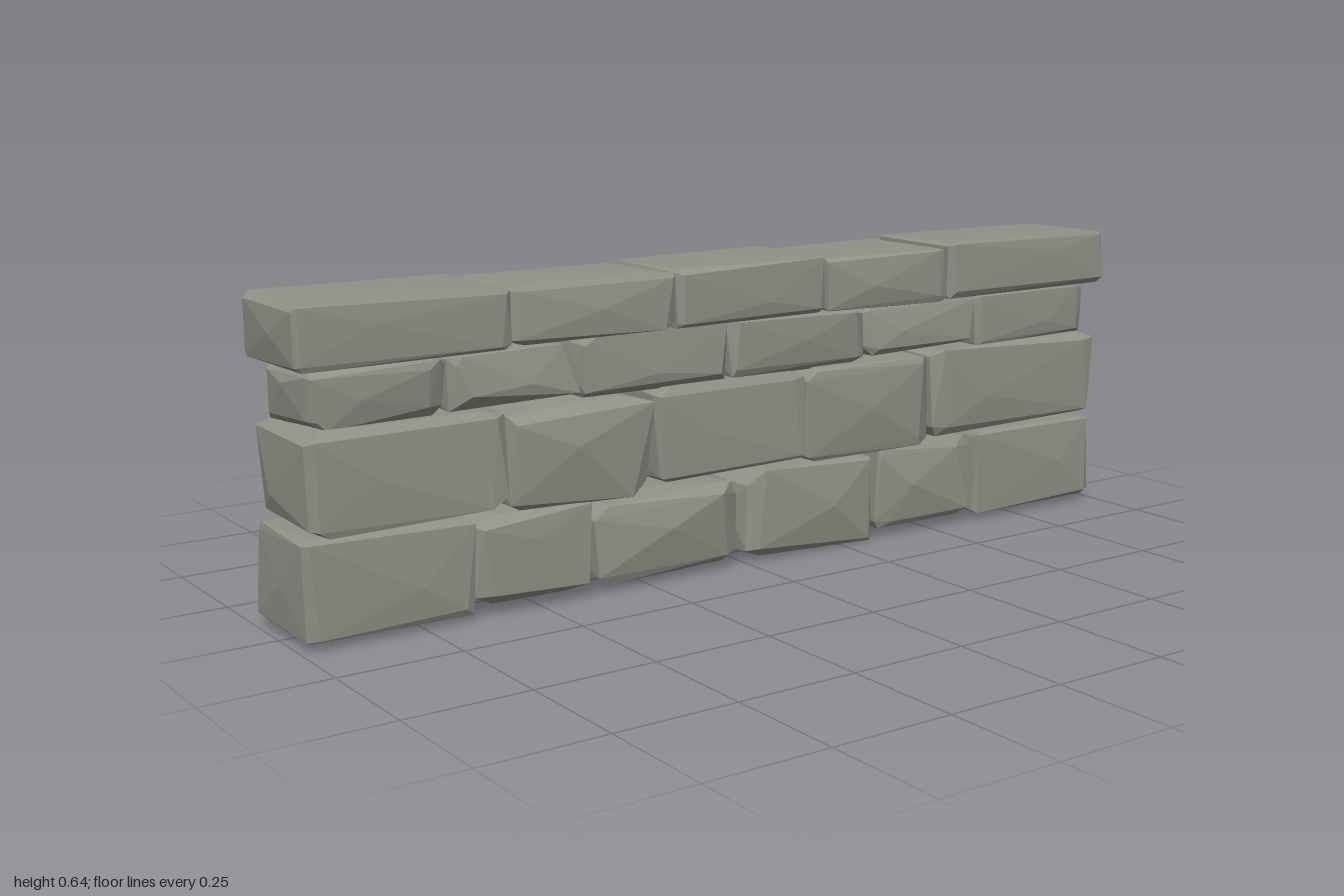
import * as THREE from 'three';
import { ConvexGeometry } from 'three/addons/geometries/ConvexGeometry.js';

// Small seeded random generator
function seeded(seed) {
  let s = seed;
  return () => {
    s = (s * 16807) % 2147483647;
    return s / 2147483647;
  };
}

// Each stone: [left x, right x, bottom y, top y, roughness]
const courses = [
  { name: 'baseCourse', back: -0.12, front: 0.115, stones: [
    [-0.995, -0.64, 0.01, 0.207, 0.8], [-0.65, -0.385, 0.015, 0.205, 1.1], [-0.385, -0.02, 0.012, 0.185, 1.2],
    [-0.015, 0.34, 0.0, 0.2, 1.2], [0.34, 0.61, 0.015, 0.205, 1], [0.615, 0.993, 0.01, 0.207, 0.8]] },
  { name: 'secondCourse', back: -0.12, front: 0.117, stones: [
    [-0.985, -0.565, 0.205, 0.405, 1], [-0.57, -0.23, 0.185, 0.395, 1.6], [-0.24, 0.14, 0.205, 0.402, 0.8],
    [0.135, 0.495, 0.19, 0.405, 1.1], [0.485, 0.985, 0.205, 0.405, 1]] },
  { name: 'thirdCourse', back: -0.1, front: 0.1, stones: [
    [-0.97, -0.68, 0.395, 0.515, 0.9], [-0.69, -0.39, 0.4, 0.515, 1.2], [-0.4, -0.04, 0.39, 0.52, 0.9],
    [-0.05, 0.315, 0.39, 0.52, 0.9], [0.305, 0.62, 0.405, 0.52, 1], [0.62, 0.965, 0.395, 0.515, 0.6]] },
  { name: 'capCourse', back: -0.125, front: 0.122, stones: [
    [-1, -0.555, 0.513, 0.635, 0.6], [-0.565, -0.185, 0.513, 0.635, 0.8], [-0.195, 0.19, 0.513, 0.637, 0.6],
    [0.18, 0.525, 0.513, 0.632, 0.8], [0.52, 1, 0.515, 0.64, 0.6]] },
];

// Hewn stone: hull of a box with unevenly cut corners and slightly bulging faces
function stoneGeometry(min, max, rough, rand) {
  const size = max.map((v, i) => v - min[i]);
  const cut = [0.034, 0.02, 0.02].map((c, i) => Math.min(c * rough, size[i] * 0.2));
  const tilt = [0.014, 0.01, 0.016].map((t) => t * rough);
  const points = [];
  for (const sx of [0, 1]) for (const sy of [0, 1]) for (const sz of [0, 1]) {
    const side = [sx, sy, sz];
    // One point per face that meets at this corner
    for (let face = 0; face < 3; face++) {
      const p = side.map((s, i) => {
        const inset = i === face ? rand() * tilt[i] : cut[i] * (0.35 + 1.1 * rand());
        return s ? max[i] - inset : min[i] + inset;
      });
      points.push(new THREE.Vector3(...p));
    }
  }
  // One high point on each face
  for (let face = 0; face < 3; face++) for (const s of [0, 1]) {
    const p = min.map((m, i) => i === face ? (s ? max[i] : m) : m + size[i] * (0.3 + 0.4 * rand()));
    points.push(new THREE.Vector3(...p));
  }
  return new ConvexGeometry(points);
}

export function createModel() {
  const wall = new THREE.Group();
  wall.name = 'stoneWall';
  const stoneGrey = new THREE.MeshStandardMaterial({ color: 0x919188 });
  stoneGrey.name = 'stoneGrey';
  const rand = seeded(4217);

  for (const { name, back, front, stones } of courses) {
    const course = new THREE.Group();
    course.name = name;
    stones.forEach(([x0, x1, y0, y1, rough], i) => {
      const geometry = stoneGeometry([x0, y0, back], [x1, y1, front], rough, rand);
      const stone = new THREE.Mesh(geometry, stoneGrey);
      stone.name = `stone${i + 1}`;
      course.add(stone);
    });
    wall.add(course);
  }
  return wall;
}
